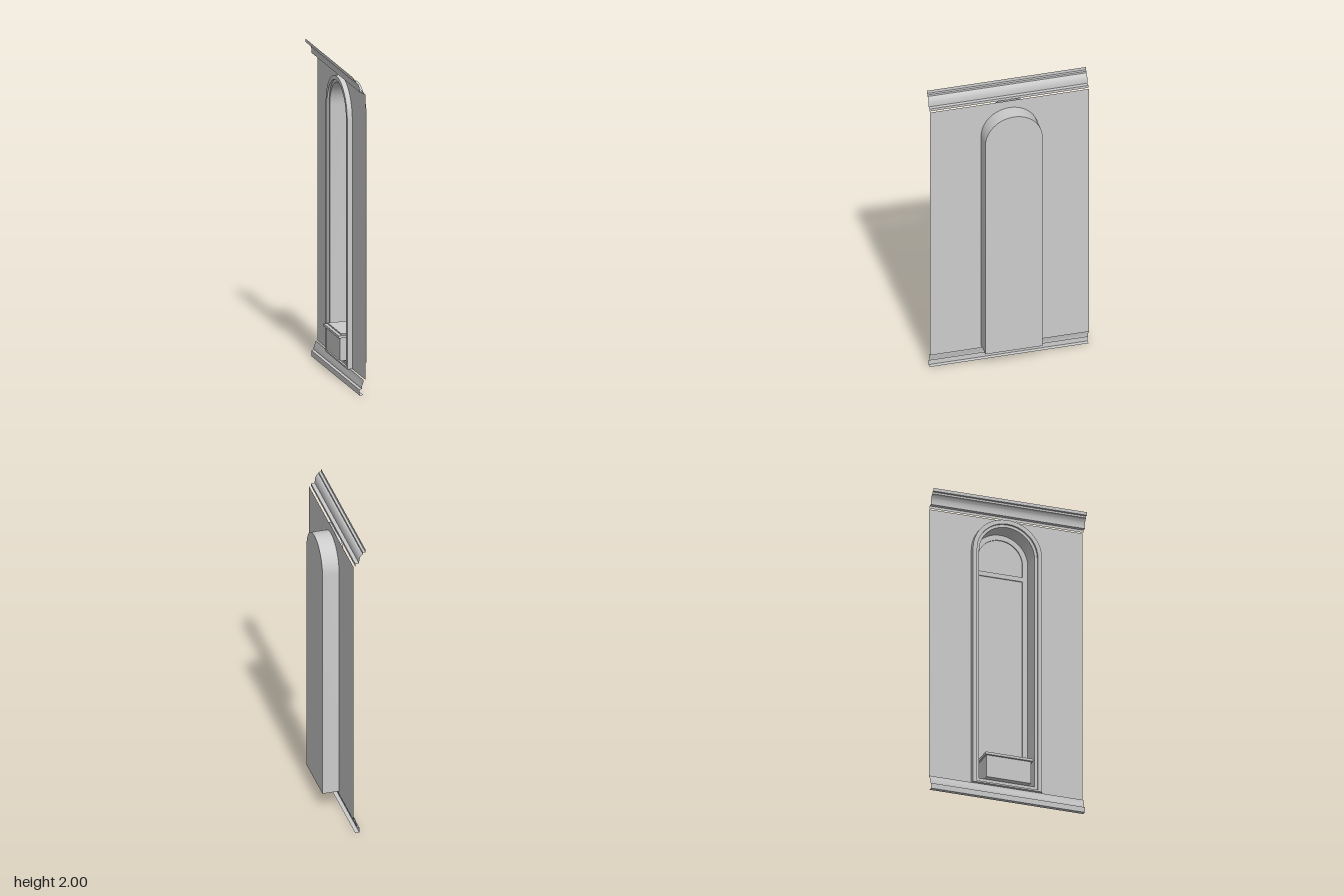
import * as THREE from 'three';
import { toCreasedNormals } from 'three/addons/utils/BufferGeometryUtils.js';

const grey = new THREE.MeshStandardMaterial({ color: 0xcccccc, side: THREE.DoubleSide });
const WALL_X = -0.016, BACK_X = 0.089, SPRING = 1.66;

// Round-topped outline of half width r, from y0 up to the crown
function archPoints(r, y0, segments = 20) {
  const pts = [new THREE.Vector2(r, y0)];
  for (let i = 0; i <= segments; i++) {
    const a = (i / segments) * Math.PI;
    pts.push(new THREE.Vector2(Math.cos(a) * r, SPRING + Math.sin(a) * r));
  }
  pts.push(new THREE.Vector2(-r, y0));
  return pts;
}

// Open sheet: a profile in xy swept from z0 to z1
function sheet(points, z0, z1) {
  const pos = [];
  for (let i = 0; i < points.length - 1; i++) {
    const a = points[i], b = points[i + 1];
    pos.push(a.x, a.y, z0, b.x, b.y, z0, b.x, b.y, z1);
    pos.push(a.x, a.y, z0, b.x, b.y, z1, a.x, a.y, z1);
  }
  const geo = new THREE.BufferGeometry();
  geo.setAttribute('position', new THREE.Float32BufferAttribute(pos, 3));
  geo.computeVertexNormals();
  return toCreasedNormals(geo, 0.5);
}

// Arched plate between two x positions, with optional holes
function plate(outline, holes, xFront, xBack) {
  const shape = new THREE.Shape(outline);
  holes.forEach(h => shape.holes.push(new THREE.Path(h)));
  const geo = new THREE.ExtrudeGeometry(shape, { depth: xBack - xFront, bevelEnabled: false });
  geo.rotateY(-Math.PI / 2).translate(xBack, 0, 0);
  return toCreasedNormals(geo, 0.5);
}

// Box given by its limits, centred on z
function slab(x0, x1, y0, y1, width) {
  return new THREE.BoxGeometry(x1 - x0, y1 - y0, width)
    .translate((x0 + x1) / 2, (y0 + y1) / 2, 0);
}

export function createModel() {
  const group = new THREE.Group();
  const add = (name, geo) => {
    const mesh = new THREE.Mesh(geo, grey);
    mesh.name = name;
    group.add(mesh);
  };
  const v = (x, y) => new THREE.Vector2(x, y);

  // Wall sheet with the arched opening
  const wall = new THREE.Shape([v(-0.5, 0.095), v(-0.198, 0.095),
    ...archPoints(0.198, 0.095).reverse().slice(1),
    v(0.5, 0.095), v(0.5, 1.89), v(-0.5, 1.89)]);
  add('wall', new THREE.ShapeGeometry(wall).rotateY(-Math.PI / 2).translate(WALL_X, 0, 0));

  // Cornice: fascia, cove and top fillet
  const cornice = [v(-0.029, 1.89), v(-0.029, 1.907), v(-0.053, 1.907), v(-0.053, 1.915)];
  for (let i = 1; i <= 8; i++) {
    const a = (i / 8) * Math.PI / 2;
    cornice.push(v(-0.077 + 0.024 * Math.cos(a), 1.915 + 0.053 * Math.sin(a)));
  }
  cornice.push(v(-0.077, 1.98), v(-0.093, 1.98), v(-0.093, 2));
  add('cornice', sheet(cornice, -0.5, 0.5));

  // Skirting with a stepped foot
  add('skirting', sheet([v(-0.029, 0.095), v(-0.029, 0.085), v(-0.04, 0.055), v(-0.04, 0.04),
    v(-0.055, 0.035), v(-0.055, 0), v(-0.029, 0)], -0.5, 0.5));

  // Stepped trim around the opening
  add('outerTrim', plate(archPoints(0.225, 0.095), [archPoints(0.198, 0.105)], -0.048, WALL_X));
  add('innerTrim', plate(archPoints(0.199, 0.095), [archPoints(0.18, 0.116)], -0.035, WALL_X));

  // Niche: barrel, floor and back
  add('nicheBarrel', sheet(archPoints(0.18, 0.116), -BACK_X, 0.03).rotateY(-Math.PI / 2));
  add('nicheFloor', slab(-0.03, BACK_X, 0.116, 0.13, 0.36));
  add('nicheBack', new THREE.ShapeGeometry(new THREE.Shape(archPoints(0.18, 0.116)))
    .rotateY(-Math.PI / 2).translate(BACK_X, 0, 0));

  // Raised border and crossbar on the niche back
  add('backBorder', plate(archPoints(0.179, 0.13), [archPoints(0.145, 0.15)], 0.081, 0.088));
  add('backCrossbar', slab(0.081, 0.088, 1.55, 1.58, 0.3));

  // Pedestal with a two-step top
  add('pedestalBody', slab(-0.069, 0.085, 0.13, 0.275, 0.29));
  add('pedestalLip', slab(-0.082, 0.085, 0.275, 0.291, 0.31));
  add('pedestalTop', slab(-0.062, 0.085, 0.291, 0.3, 0.28));
  return group;
}
